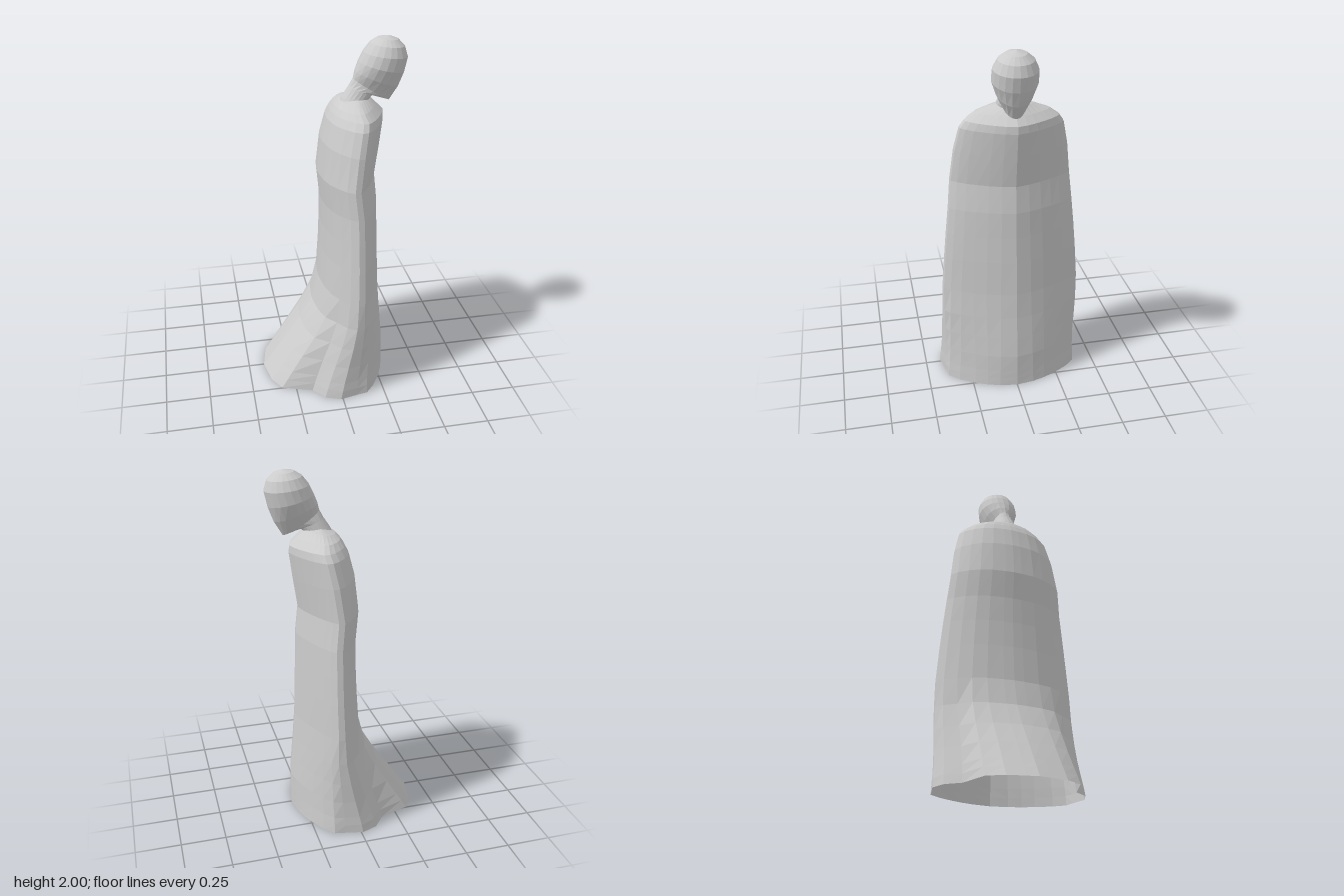
import * as THREE from 'three';

// Half outlines from back to front: [position back..front, share of half width]
const HEM = [[0, 0], [0.015, 0.15], [0.04, 0.38], [0.11, 0.595], [0.345, 0.73], [0.43, 0.92], [0.55, 1],
  [0.68, 0.95], [0.77, 0.92], [0.84, 0.78], [0.91, 0.57], [0.95, 0.41], [0.98, 0.24], [1, 0]];
const BODY = [[0, 0], [0.01, 0.15], [0.04, 0.38], [0.1, 0.58], [0.2, 0.76], [0.33, 0.92], [0.45, 1],
  [0.55, 0.99], [0.63, 0.9], [0.72, 0.76], [0.8, 0.6], [0.88, 0.42], [0.95, 0.22], [1, 0]];
const ROUND = Array.from({ length: 11 }, (_, i) => {
  const a = (i / 10) * Math.PI;
  return [(1 - Math.cos(a)) / 2, Math.sin(a)];
});

const blend = (a, b, t) => a.map((p, i) => [p[0] + (b[i][0] - p[0]) * t, p[1] + (b[i][1] - p[1]) * t]);

// Ring through a back point and a front point, mirrored over z
function ring([backX, backY, frontX, frontY, half], outline, offsetZ = 0) {
  const at = ([u, w], side) => [backX + (frontX - backX) * u, backY + (frontY - backY) * u, offsetZ + side * w * half];
  const left = outline.map((p) => at(p, 1));
  const right = outline.slice(1, -1).reverse().map((p) => at(p, -1));
  return [...left, ...right];
}

// Skin between rings from bottom to top, closed with a tip point
function loft(rings, tip) {
  const n = rings[0].length;
  const index = [];
  for (let r = 0; r < rings.length; r++) {
    for (let i = 0; i < n; i++) {
      const a = r * n + i, b = r * n + ((i + 1) % n);
      if (r < rings.length - 1) index.push(a, b, b + n, a, b + n, a + n);
      else index.push(a, b, rings.length * n);
    }
  }
  const geometry = new THREE.BufferGeometry();
  geometry.setAttribute('position', new THREE.Float32BufferAttribute([...rings.flat(), tip].flat(), 3));
  geometry.setIndex(index);
  geometry.computeVertexNormals();
  return geometry;
}

export function createModel() {
  const group = new THREE.Group();
  const material = new THREE.MeshStandardMaterial({ color: 0xcccccc, flatShading: true, side: THREE.DoubleSide });
  const add = (name, geometry) => {
    const mesh = new THREE.Mesh(geometry, material);
    mesh.name = name;
    group.add(mesh);
  };

  // Robe, open at the hem: [backX, backY, frontX, frontY, halfWidth]
  const robe = [
    [-0.41, 0, 0.315, 0, 0.415],
    [-0.375, 0.05, 0.315, 0.05, 0.413],
    [-0.34, 0.1, 0.315, 0.1, 0.408],
    [-0.27, 0.2, 0.315, 0.2, 0.402],
    [-0.185, 0.32, 0.305, 0.32, 0.4],
    [-0.11, 0.45, 0.293, 0.45, 0.397],
    [-0.07, 0.6, 0.283, 0.6, 0.392],
    [-0.057, 0.8, 0.276, 0.8, 0.376],
    [-0.052, 0.95, 0.27, 0.95, 0.362],
    [-0.053, 1.1, 0.266, 1.1, 0.346],
    [-0.07, 1.26, 0.25, 1.25, 0.331],
    [-0.05, 1.45, 0.275, 1.42, 0.308],
    [-0.02, 1.57, 0.293, 1.56, 0.278],
    [0, 1.61, 0.29, 1.6, 0.25],
    [0.02, 1.64, 0.25, 1.64, 0.2],
    [0.04, 1.66, 0.21, 1.68, 0.12],
  ];
  add('robe', loft(robe.map((s) => ring(s, blend(HEM, BODY, Math.min(1, s[1] / 0.6)))), [0.13, 1.7, 0]));

  // Bowed head on a short forward-leaning neck
  const head = [
    [0.03, 1.62, 0.22, 1.62, 0.1],
    [0.06, 1.68, 0.21, 1.67, 0.07],
    [0.1, 1.74, 0.23, 1.69, 0.06],
    [0.12, 1.78, 0.32, 1.655, 0.062],
    [0.13, 1.82, 0.365, 1.73, 0.095],
    [0.15, 1.87, 0.395, 1.81, 0.118],
    [0.175, 1.92, 0.412, 1.89, 0.116],
    [0.21, 1.965, 0.395, 1.945, 0.092],
    [0.25, 1.99, 0.36, 1.98, 0.055],
  ];
  add('head', loft(head.map((s) => ring(s, ROUND, 0.015)), [0.31, 2, 0.015]));
  return group;
}
